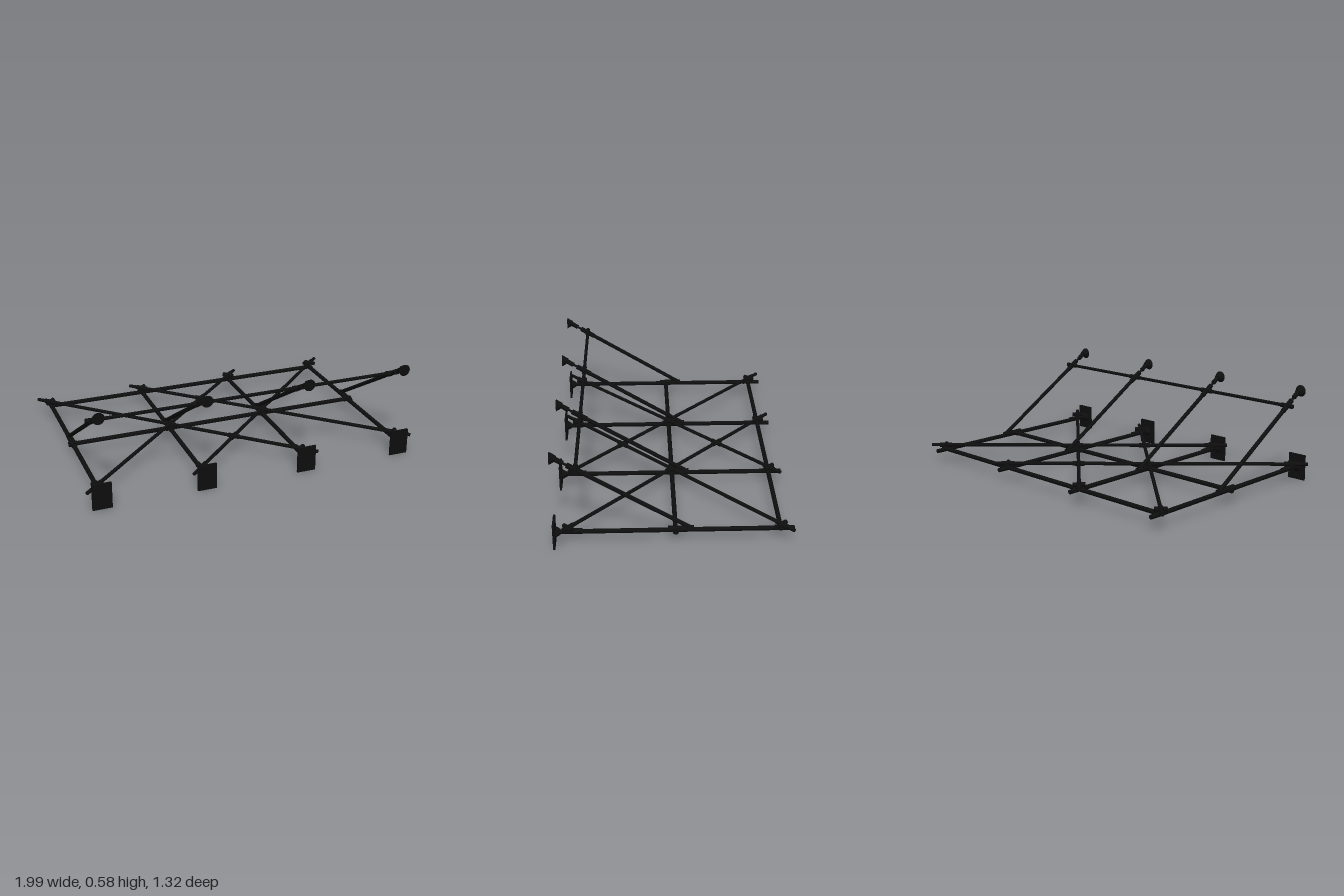
import * as THREE from 'three';

export function createModel() {
  const model = new THREE.Group();
  model.name = 'canopyFrame';
  const steel = new THREE.MeshStandardMaterial({ color: 0x0e0e0e });
  steel.name = 'black steel';

  const V = (x, y, z) => new THREE.Vector3(x, y, z);
  const UP = V(0, 1, 0);

  // Round bar from a to b; the radius may taper
  function bar(name, a, b, r, rEnd = r, sides = 16) {
    const dir = b.clone().sub(a);
    const mesh = new THREE.Mesh(new THREE.CylinderGeometry(rEnd, r, dir.length(), sides), steel);
    mesh.position.copy(a).add(b).multiplyScalar(0.5);
    mesh.quaternion.setFromUnitVectors(UP, dir.normalize());
    mesh.name = name;
    model.add(mesh);
  }
  // Short collar centred on p along dir
  function sleeve(name, p, dir, length, r) {
    const h = dir.clone().normalize().multiplyScalar(length / 2);
    bar(name, p.clone().sub(h), p.clone().add(h), r);
  }

  const columns = [-0.91, -0.305, 0.305, 0.91];
  const yBeam = 0.08, yBrace = 0.108;
  const alongX = V(1, 0, 0), alongZ = V(0, 0, 1);

  // Rear and middle cross bars
  for (const z of [-0.585, -0.01]) {
    bar('crossBar', V(-0.92, yBeam, z), V(0.92, yBeam, z), 0.013);
  }

  // Raised front rail
  bar('frontRail', V(-0.95, 0.473, 0.52), V(0.95, 0.473, 0.52), 0.01);

  for (const x of columns) {
    // Floor beam with its collars
    bar('beam', V(x, yBeam, -0.66), V(x, yBeam, 0.645), 0.013);
    sleeve('beamCollar', V(x, 0.083, 0.53), alongZ, 0.065, 0.016);
    sleeve('beamCollar', V(x, 0.083, -0.585), alongZ, 0.065, 0.016);
    sleeve('beamCollar', V(x, 0.085, -0.005), alongZ, 0.07, 0.018);
    sleeve('crossCollar', V(x, yBeam, -0.01), alongX, 0.05, 0.016);
    sleeve('hingeCollar', V(x, 0.086, -0.075), alongZ, 0.07, 0.018);

    // Wall plate and flared socket
    const plate = new THREE.Mesh(new THREE.BoxGeometry(0.112, 0.155, 0.012), steel);
    plate.position.set(x, 0.0775, 0.65);
    plate.name = 'wallPlate';
    model.add(plate);
    bar('plateSocket', V(x, yBeam, 0.648), V(x, yBeam, 0.615), 0.035, 0.016, 20);

    // Inclined tie rod, thinner beyond the rail, with a flared end
    const foot = V(x, 0.095, -0.09), tip = V(x, 0.545, 0.64);
    const dir = tip.clone().sub(foot).normalize();
    const at = (t) => foot.clone().lerp(tip, t);
    bar('tieRod', foot, at(0.84), 0.012);
    bar('tieRodNeck', at(0.84), tip, 0.007);
    sleeve('railCollar', at(0.84), dir, 0.095, 0.015);
    sleeve('neckCollar', at(0.955), dir, 0.05, 0.014);
    sleeve('railSleeve', V(x, 0.473, 0.52), alongX, 0.08, 0.014);
    bar('rodSocket', V(x, 0.541, 0.655), V(x, 0.541, 0.618), 0.035, 0.014, 20);
  }

  // Diagonal braces, two pairs mirrored left to right
  for (const s of [-1, 1]) {
    for (const [x0, x1] of [[-0.98, 0.38], [-0.37, 0.99]]) {
      const a = V(s * x0, yBrace, -0.65), b = V(s * x1, yBrace, 0.645);
      bar('brace', a, b, 0.0105);
      const dir = b.clone().sub(a).normalize();
      const side = V(dir.z, 0, -dir.x);
      // Clamps over the beams at both ends
      for (const [t, l] of [[0.047, 0.075], [0.945, 0.075]]) {
        const p = a.clone().lerp(b, t);
        sleeve('braceClamp', p, dir, l, 0.014);
        sleeve('clampPin', p, side, 0.07, 0.013);
      }
      // Clamp where a brace passes the middle cross bar
      const middle = a.clone().lerp(b, 0.494);
      sleeve('middleClamp', middle, dir, 0.06, 0.014);
      sleeve('middleClampPin', middle, side, 0.06, 0.013);
      // Collar where the braces cross each other
      sleeve('crossingCollar', a.clone().lerp(b, -x0 / (x1 - x0)), dir, 0.07, 0.014);
    }
  }
  return model;
}
